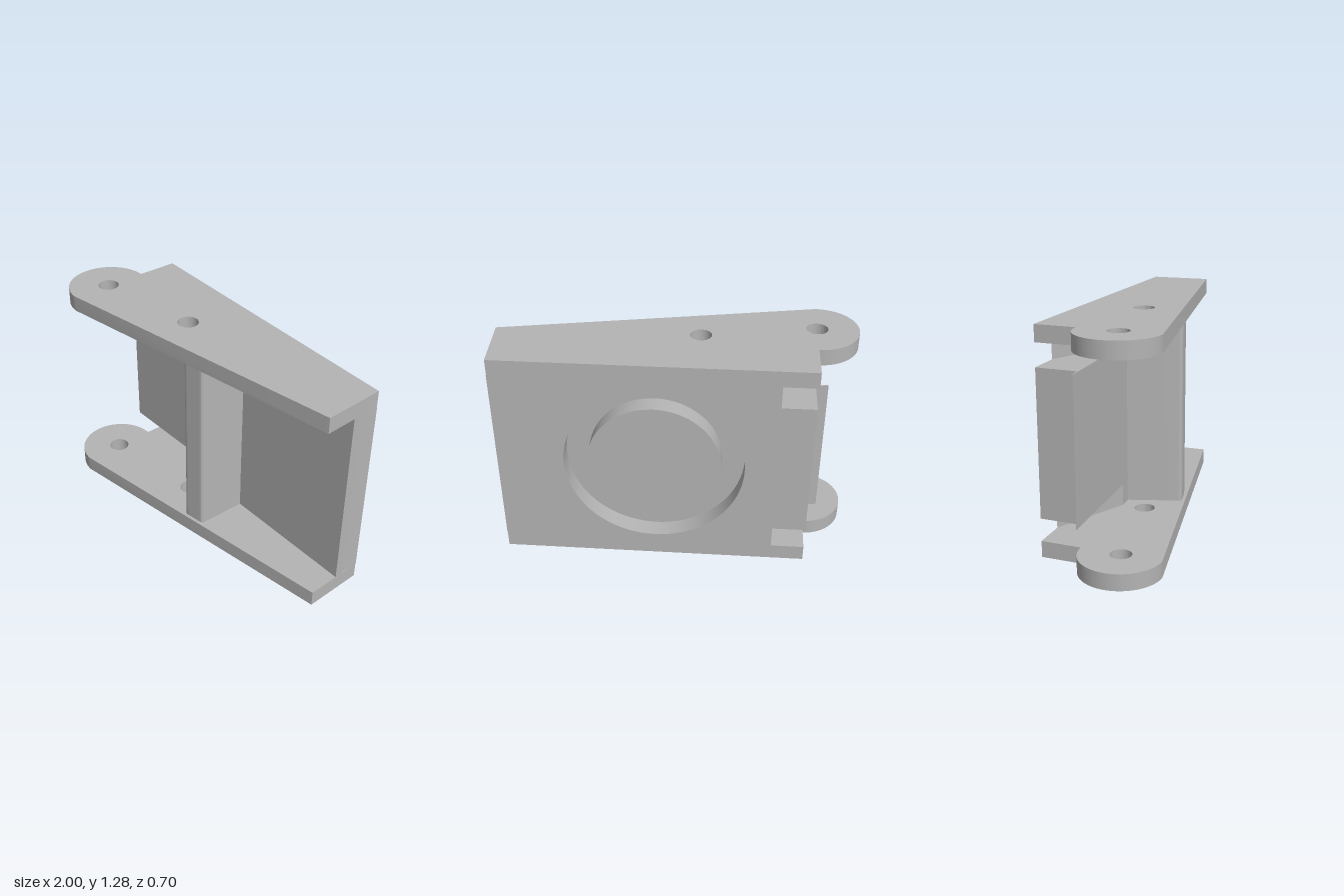
import * as THREE from 'three';
import { toCreasedNormals } from 'three/addons/utils/BufferGeometryUtils.js';

const HEIGHT = 1.285, PLATE = 0.094;
const NOTCH_LOW = 0.225, NOTCH_HIGH = 1.06;
const BACK = -0.35, GROOVE = -0.24;

export function createModel() {
  const group = new THREE.Group();
  const grey = new THREE.MeshStandardMaterial({ color: 0xb4b4b4 });
  grey.name = 'plain grey';

  const add = (name, geometry) => {
    const mesh = new THREE.Mesh(toCreasedNormals(geometry, 0.5), grey);
    mesh.name = name;
    group.add(mesh);
    return mesh;
  };
  const extrude = (shape, depth) =>
    new THREE.ExtrudeGeometry(shape, { depth, bevelEnabled: false, curveSegments: 40 });
  const polygon = (points) => new THREE.Shape(points.map(([x, y]) => new THREE.Vector2(x, y)));
  const plan = (points) => polygon(points.map(([x, z]) => [x, -z]));
  const circle = (x, y, r) => new THREE.Path().absarc(x, y, r, 0, Math.PI * 2, true);
  // Raise a plan shape, drawn in x and -z, from y0 to y1
  const raise = (name, shape, y0, y1) =>
    add(name, extrude(shape, y1 - y0).rotateX(-Math.PI / 2).translate(0, y0, 0));

  // Side plates: tapered arm, round lobe and two pin holes
  const arm = new THREE.Shape();
  arm.moveTo(1, 0);
  arm.lineTo(0.98, -BACK);
  arm.lineTo(-0.77, -BACK);
  arm.lineTo(-0.77, 0.118);
  arm.absarc(-0.77, -0.115, 0.232, Math.PI / 2, Math.PI * 1.5 - 0.19 + 0.19, false);
  arm.closePath();
  arm.holes.push(circle(-0.77, -0.115, 0.06), circle(-0.135, 0, 0.06));
  raise('bottomPlate', arm, 0, PLATE);
  raise('topPlate', arm, HEIGHT - PLATE, HEIGHT);

  // Front part of the wall, with a thin tongue between the notches
  raise('wallFront', plan([
    [-0.77, GROOVE], [0.985, GROOVE], [0.99, -0.185], [-0.84, -0.104], [-0.84, -0.107], [-0.77, -0.118],
  ]), NOTCH_LOW, NOTCH_HIGH);

  // Wall beside the plates, cut back by sloping notches
  const notchWall = plan([[-0.35, GROOVE], [0.985, GROOVE], [0.99, -0.185], [-0.14, -0.136]]);
  const notchWedge = plan([[-0.58, BACK], [-0.35, BACK], [-0.35, GROOVE]]);
  for (const [side, y0, y1] of [['lower', PLATE, NOTCH_LOW], ['upper', NOTCH_HIGH, HEIGHT - PLATE]]) {
    raise(side + 'NotchWall', notchWall, y0, y1);
    raise(side + 'NotchWedge', notchWedge, y0, y1);
  }

  // Rear part of the wall, opened by the round groove
  const rear = polygon([
    [-0.77, NOTCH_LOW], [-0.35, NOTCH_LOW], [-0.35, PLATE], [0.982, PLATE],
    [0.982, HEIGHT - PLATE], [-0.35, HEIGHT - PLATE], [-0.35, NOTCH_HIGH], [-0.77, NOTCH_HIGH],
  ]);
  rear.holes.push(circle(0.1, HEIGHT / 2, 0.505));
  add('wallRear', extrude(rear, GROOVE - BACK)).position.z = BACK;

  // Round boss inside the groove
  const boss = new THREE.CylinderGeometry(0.375, 0.375, GROOVE - BACK, 80).rotateX(Math.PI / 2);
  add('boss', boss).position.set(0.1, HEIGHT / 2, (BACK + GROOVE) / 2);

  // Upright rib with softened front corners
  const rib = new THREE.Shape();
  rib.moveTo(-0.075, 0.2);
  rib.lineTo(0.18, 0.2);
  rib.lineTo(0.18, -0.12);
  rib.quadraticCurveTo(0.18, -0.141, 0.16, -0.145);
  rib.lineTo(0.07, -0.163);
  rib.quadraticCurveTo(0.047, -0.168, 0.039, -0.146);
  rib.closePath();
  raise('rib', rib, PLATE, HEIGHT - PLATE);

  return group;
}
